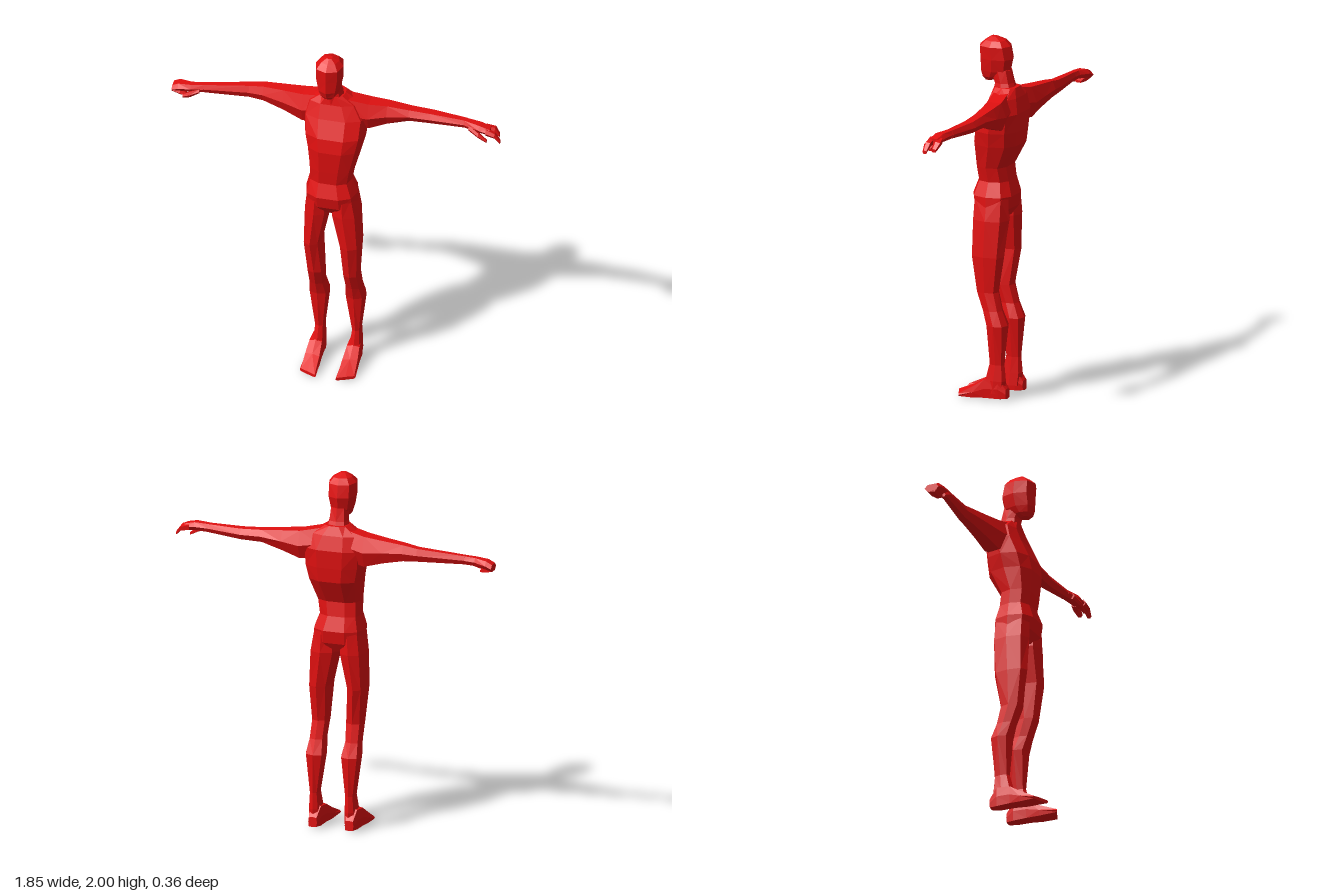
import * as THREE from 'three';

const skin = new THREE.MeshStandardMaterial({ color: 0xe01010 });

// Cross-section outline with n corners, stretched to fill -1..1 both ways
function outline(n, power) {
  const pts = [];
  for (let i = 0; i < n; i++) {
    const a = (i / n) * Math.PI * 2;
    const f = (v) => Math.sign(v) * Math.pow(Math.abs(v) < 1e-6 ? 0 : Math.abs(v), power);
    pts.push([f(Math.cos(a)), f(Math.sin(a))]);
  }
  const ma = Math.max(...pts.map((p) => p[0])), mb = Math.max(...pts.map((p) => p[1]));
  return pts.map((p) => [p[0] / ma, p[1] / mb]);
}

// Closed faceted loft; rows are [t, a0, a1, b0, b1], place maps (t, a, b) to a point
function loft(name, rows, place, n = 8, power = 0.8) {
  const section = outline(n, power);
  const rings = rows.map(([t, a0, a1, b0, b1]) => section.map(([u, v]) =>
    place(t, (a0 + a1) / 2 + (u * (a1 - a0)) / 2, (b0 + b1) / 2 + (v * (b1 - b0)) / 2)));
  const tris = [];
  for (let r = 0; r < rings.length - 1; r++) {
    for (let i = 0; i < n; i++) {
      const j = (i + 1) % n;
      const [a, b, c, d] = [rings[r][i], rings[r][j], rings[r + 1][j], rings[r + 1][i]];
      if ((i + r) % 2) tris.push([a, b, c], [a, c, d]);
      else tris.push([a, b, d], [b, c, d]);
    }
  }
  const first = rings[0], last = rings[rings.length - 1];
  for (let i = 1; i < n - 1; i++) {
    tris.push([first[0], first[i + 1], first[i]], [last[0], last[i], last[i + 1]]);
  }
  // Turn all faces outward
  const o = first[0], cross = new THREE.Vector3();
  let volume = 0;
  for (const [a, b, c] of tris) {
    cross.crossVectors(b.clone().sub(o), c.clone().sub(o));
    volume += a.clone().sub(o).dot(cross);
  }
  if (volume < 0) tris.forEach((t) => t.reverse());
  const geo = new THREE.BufferGeometry().setFromPoints(tris.flat());
  geo.computeVertexNormals();
  const mesh = new THREE.Mesh(geo, skin);
  mesh.name = name;
  return mesh;
}

const upright = (t, a, b) => new THREE.Vector3(a, t, b); // rows: y, x0, x1, z0, z1
const sideways = (t, a, b) => new THREE.Vector3(t, b, a); // rows: x, z0, z1, y0, y1

export function createModel() {
  const figure = new THREE.Group();
  figure.name = 'figure';

  // Torso from crotch to neck
  figure.add(loft('torso', [
    [1.01, -0.09, 0.06, -0.09, 0.05],
    [1.06, -0.155, 0.135, -0.12, 0.085],
    [1.13, -0.158, 0.132, -0.13, 0.1],
    [1.21, -0.138, 0.1, -0.105, 0.073],
    [1.29, -0.138, 0.115, -0.095, 0.08],
    [1.42, -0.155, 0.15, -0.165, 0.088],
    [1.5, -0.175, 0.17, -0.172, 0.075],
    [1.6, -0.185, 0.175, -0.177, 0.03],
    [1.68, -0.16, 0.125, -0.155, 0.0],
    [1.73, -0.085, 0.05, -0.135, -0.01],
  ], upright, 10, 0.75));

  figure.add(loft('neck', [
    [1.68, -0.09, 0.055, -0.14, 0.0],
    [1.75, -0.075, 0.035, -0.11, -0.005],
    [1.82, -0.07, 0.03, -0.095, 0.02],
  ], upright, 8));

  figure.add(loft('head', [
    [1.755, -0.05, 0.005, 0.01, 0.055],
    [1.775, -0.07, 0.025, -0.045, 0.075],
    [1.81, -0.085, 0.038, -0.09, 0.088],
    [1.88, -0.102, 0.052, -0.105, 0.088],
    [1.95, -0.1, 0.055, -0.09, 0.09],
    [1.98, -0.075, 0.03, -0.06, 0.055],
    [2.0, -0.04, -0.005, -0.01, 0.025],
  ], upright, 8, 0.85));

  // Arms
  figure.add(loft('leftArm', [
    [0.06, -0.15, 0.0, 1.54, 1.71],
    [0.18, -0.165, -0.02, 1.53, 1.685],
    [0.28, -0.16, -0.045, 1.565, 1.678],
    [0.4, -0.15, -0.06, 1.598, 1.666],
    [0.52, -0.148, -0.065, 1.6, 1.66],
    [0.72, -0.115, -0.06, 1.612, 1.657],
  ], sideways, 6));
  figure.add(loft('rightArm', [
    [-0.09, -0.15, 0.0, 1.54, 1.71],
    [-0.19, -0.165, -0.02, 1.52, 1.69],
    [-0.3, -0.165, -0.05, 1.553, 1.68],
    [-0.42, -0.166, -0.078, 1.58, 1.67],
    [-0.5, -0.16, -0.088, 1.585, 1.657],
    [-0.76, -0.12, -0.07, 1.587, 1.633],
  ], sideways, 6));

  // Open left hand, half-closed right hand
  const leftHand = new THREE.Group();
  leftHand.name = 'leftHand';
  leftHand.add(
    loft('palm', [
      [0.71, -0.115, -0.06, 1.612, 1.657], [0.8, -0.105, -0.03, 1.61, 1.655],
      [0.86, -0.1, -0.025, 1.605, 1.64],
    ], sideways, 6),
    loft('frontFingers', [
      [0.84, -0.065, -0.02, 1.605, 1.645], [0.89, -0.06, -0.02, 1.595, 1.625],
      [0.92, -0.05, -0.025, 1.565, 1.585],
    ], sideways, 5),
    loft('backFingers', [
      [0.83, -0.105, -0.06, 1.605, 1.645], [0.88, -0.115, -0.07, 1.6, 1.63],
      [0.905, -0.1, -0.07, 1.575, 1.595],
    ], sideways, 5),
    loft('thumb', [
      [0.74, -0.075, -0.04, 1.61, 1.645], [0.8, -0.05, -0.02, 1.585, 1.615],
      [0.845, -0.04, -0.022, 1.563, 1.58],
    ], sideways, 5));
  const rightHand = new THREE.Group();
  rightHand.name = 'rightHand';
  rightHand.add(
    loft('palm', [
      [-0.75, -0.12, -0.07, 1.587, 1.633], [-0.82, -0.118, -0.062, 1.583, 1.628],
      [-0.89, -0.143, -0.06, 1.575, 1.622], [-0.925, -0.145, -0.062, 1.565, 1.605],
    ], sideways, 6),
    loft('curledFingers', [
      [-0.92, -0.135, -0.065, 1.56, 1.6], [-0.88, -0.125, -0.065, 1.55, 1.585],
      [-0.85, -0.11, -0.07, 1.55, 1.565],
    ], sideways, 5),
    loft('thumb', [
      [-0.77, -0.09, -0.06, 1.585, 1.61], [-0.82, -0.075, -0.045, 1.56, 1.595],
      [-0.86, -0.07, -0.05, 1.55, 1.57],
    ], sideways, 5));
  figure.add(leftHand, rightHand);

  // Legs share heights and depths; each has its own inner and outer edges
  const legDepth = [
    [1.12, -0.12, 0.085], [1.0, -0.125, 0.086], [0.8, -0.11, 0.085], [0.6, -0.078, 0.05],
    [0.5, -0.102, 0.01], [0.42, -0.135, -0.015], [0.2, -0.12, -0.03], [0.11, -0.128, -0.005],
    [0.04, -0.12, 0.0],
  ];
  const legWidth = {
    left: [[0, 0.125], [-0.015, 0.15], [0.035, 0.157], [0.05, 0.145], [0.055, 0.15],
      [0.045, 0.163], [0.085, 0.136], [0.075, 0.142], [0.07, 0.142]],
    right: [[-0.15, -0.02], [-0.165, -0.022], [-0.165, -0.065], [-0.15, -0.05], [-0.148, -0.055],
      [-0.157, -0.04], [-0.122, -0.066], [-0.13, -0.063], [-0.13, -0.06]],
  };
  for (const side of ['left', 'right']) {
    const rows = legDepth.map(([y, z0, z1], i) => [y, ...legWidth[side][i], z0, z1]);
    figure.add(loft(side + 'Leg', rows, upright, 8));

    // Foot, with the toe edge slanting back toward the outside
    const s = side === 'left' ? 1 : -1;
    const footPoint = (z, x, y) => new THREE.Vector3(
      s * x, y, z - Math.max(0, z) * (x - 0.06) * 2.6);
    figure.add(loft(side + 'Foot', [
      [-0.135, 0.08, 0.13, 0.012, 0.07],
      [-0.09, 0.068, 0.14, 0.004, 0.13],
      [-0.01, 0.065, 0.145, 0.004, 0.12],
      [0.07, 0.058, 0.152, 0.002, 0.075],
      [0.18, 0.055, 0.156, 0.005, 0.024],
    ], footPoint, 8, 0.4));
  }
  return figure;
}
